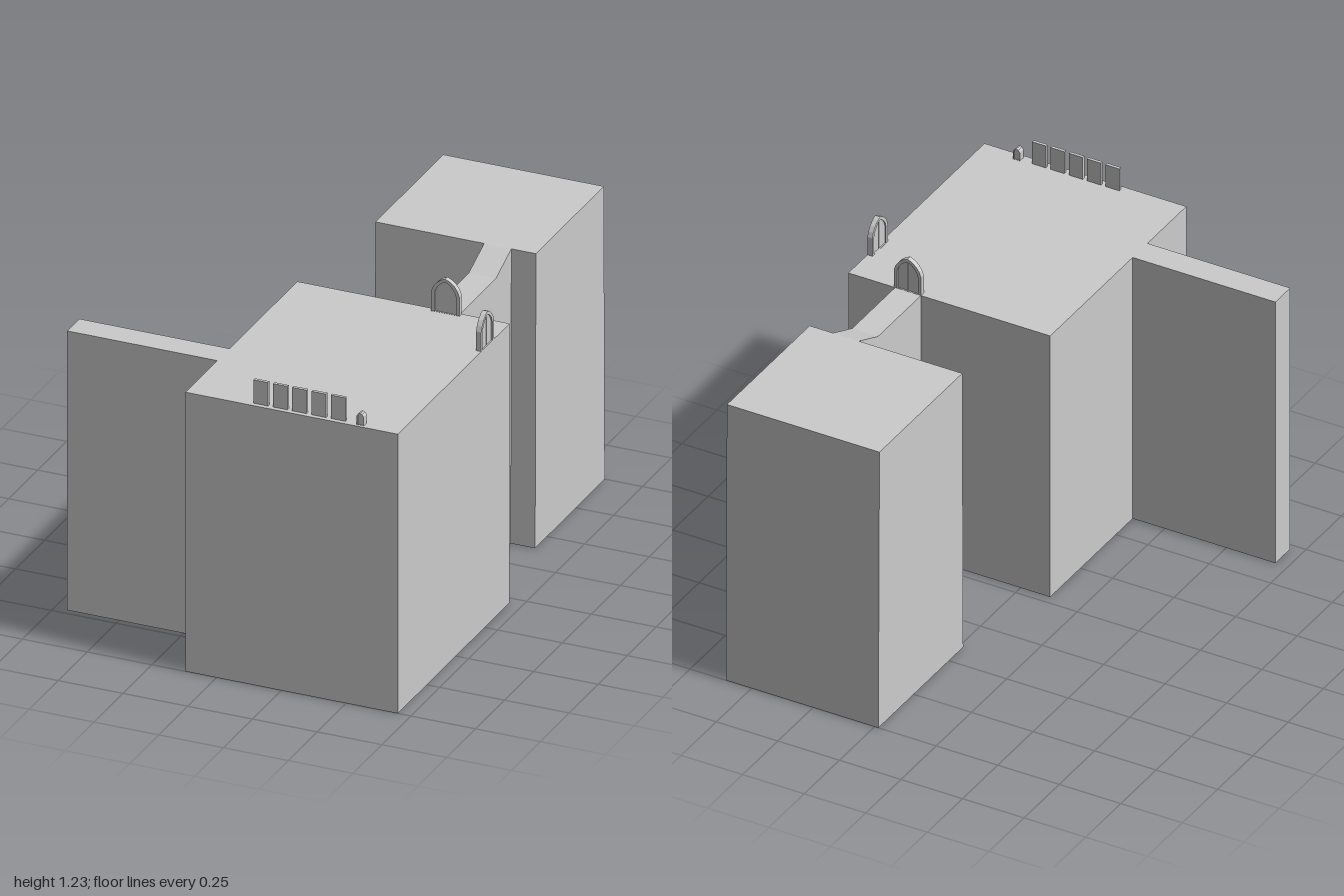
import * as THREE from 'three';

const grey = new THREE.MeshStandardMaterial({ color: 0xcccccc, flatShading: true });
const ROOF = 1.098;      // roof height of the main block
const TOWER_TOP = 1.155;

function add(parent, name, geometry) {
  const mesh = new THREE.Mesh(geometry, grey);
  mesh.name = name;
  parent.add(mesh);
  return mesh;
}

// Box given by its extents on each axis
function box(parent, name, x0, x1, y0, y1, z0, z1) {
  const g = new THREE.BoxGeometry(x1 - x0, y1 - y0, z1 - z0);
  g.translate((x0 + x1) / 2, (y0 + y1) / 2, (z0 + z1) / 2);
  return add(parent, name, g);
}

// Solid with a z-y side profile, running from x0 to x1
function sideProfile(parent, name, points, x0, x1) {
  const shape = new THREE.Shape(points.map(([z, y]) => new THREE.Vector2(-z, y)));
  const g = new THREE.ExtrudeGeometry(shape, { depth: x1 - x0, bevelEnabled: false });
  g.rotateY(Math.PI / 2);
  g.translate(x0, 0, 0);
  return add(parent, name, g);
}

// Mirrored outline from the right half, listed from the base up to the apex
function mirrored(half) {
  const left = half.filter(([x]) => x > 0).reverse().map(([x, y]) => [-x, y]);
  return [...half, ...left].map(([x, y]) => new THREE.Vector2(x, y));
}

function slab(points, depth, hole) {
  const shape = new THREE.Shape(points);
  if (hole) shape.holes.push(new THREE.Path(hole));
  const g = new THREE.ExtrudeGeometry(shape, { depth, bevelEnabled: false });
  g.translate(0, 0, -depth / 2);
  return g;
}

// Pointed doorway: frame with two recessed leaves
function pointedDoor(name) {
  const door = new THREE.Group();
  door.name = name;
  const outer = [[0.055, 0], [0.055, 0.075], [0.048, 0.095], [0.035, 0.113], [0.016, 0.128], [0, 0.135]];
  const inner = [[0.042, 0.001], [0.042, 0.073], [0.036, 0.09], [0.025, 0.105], [0.011, 0.117], [0, 0.122]];
  add(door, 'doorFrame', slab(mirrored(outer), 0.02, mirrored(inner)));
  add(door, 'doorLeaves', slab(mirrored(inner), 0.01));
  box(door, 'doorSeam', -0.001, 0.001, 0, 0.12, -0.006, 0.006);
  return door;
}

export function createModel() {
  const model = new THREE.Group();
  model.name = 'building';

  // Main block and thin side wing
  box(model, 'mainBlock', -0.12, 0.7, 0, ROOF, 0.035, 1);
  box(model, 'sideWing', -0.7, -0.12, 0, ROOF, 0.62, 0.725);

  // Rear tower, leaning in slightly at front and back
  sideProfile(model, 'rearTower',
    [[-0.398, 0], [-1, 0], [-0.992, TOWER_TOP], [-0.405, TOWER_TOP]], -0.015, 0.605);

  // Connecting wall with a ramp up to the tower roof
  sideProfile(model, 'connectingWall',
    [[0.035, 0], [-0.398, 0], [-0.405, TOWER_TOP], [-0.27, ROOF], [0.035, ROOF]], 0.405, 0.51);

  // Doorways on the roof edge
  const backDoor = pointedDoor('backDoor');
  backDoor.position.set(0.46, ROOF, 0.045);
  const sideDoor = pointedDoor('sideDoor');
  sideDoor.position.set(0.69, ROOF, 0.225);
  sideDoor.rotation.y = Math.PI / 2;
  model.add(backDoor, sideDoor);

  // Row of upright panels along the front
  for (let i = 0; i < 5; i++) {
    const x = 0.163 + i * 0.0745;
    box(model, 'frontPanel' + (i + 1), x - 0.028, x + 0.028, ROOF, 1.19, 0.97, 0.982);
  }

  // Small shelter beside the panels, with an arched niche
  const shelter = new THREE.Group();
  shelter.name = 'shelter';
  shelter.position.set(0.549, ROOF, 0.976);
  const shell = [[0.014, 0], [0.014, 0.034], [0.008, 0.043], [0, 0.046]];
  const niche = [[0.01, 0.001], [0.01, 0.031], [0.006, 0.038], [0, 0.04]];
  add(shelter, 'shelterShell', slab(mirrored(shell), 0.026, mirrored(niche)));
  add(shelter, 'shelterCore', slab(mirrored(niche), 0.02));
  model.add(shelter);

  return model;
}
